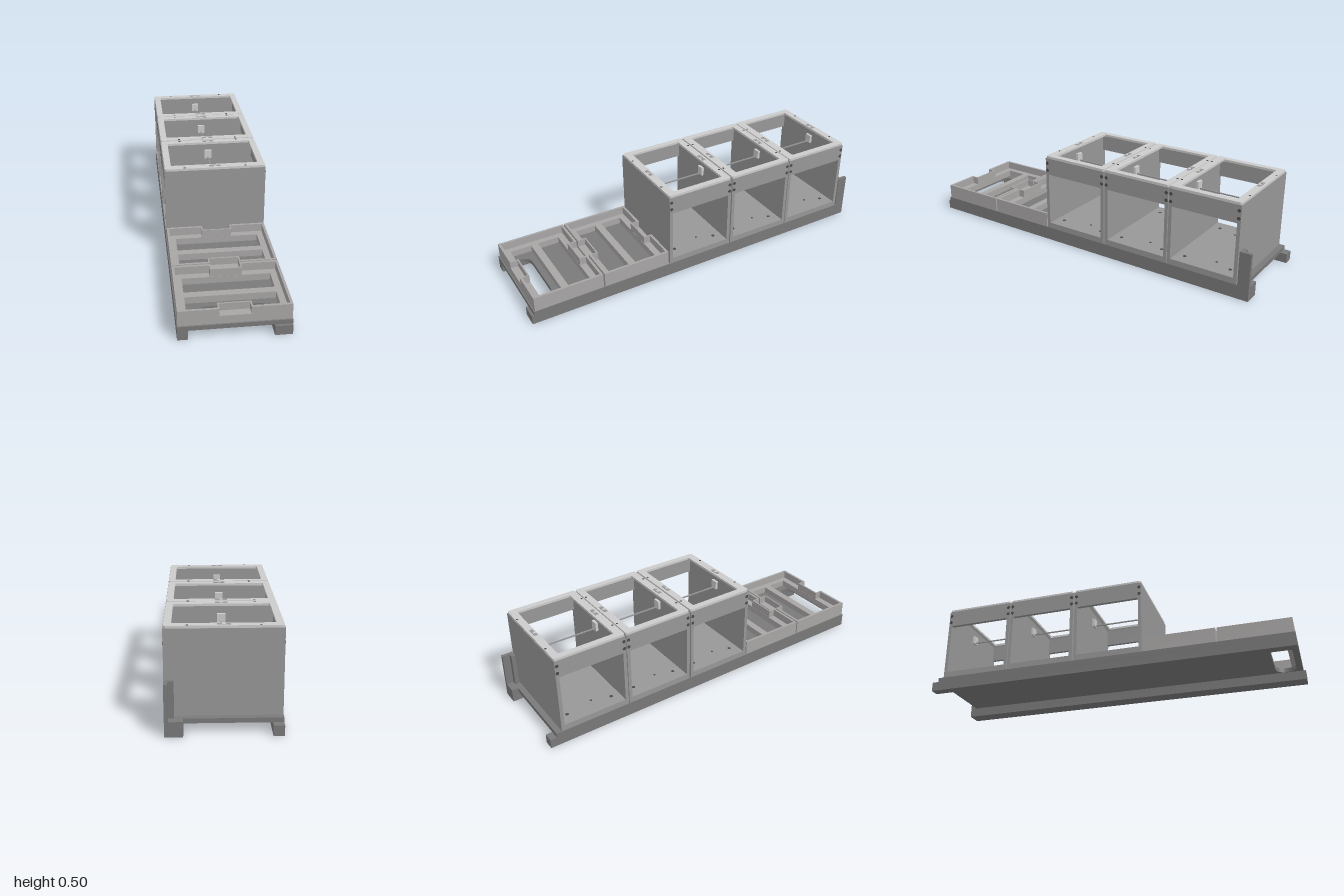
import * as THREE from 'three';

const paint = c => new THREE.MeshStandardMaterial({ color: c, flatShading: true });
const LID = paint(0xcccccc), SHELL = paint(0x979797), TRAY = paint(0xa8a5a5);
const BASE = paint(0x797979), DARK = paint(0x4c4c4c);

function add(parent, name, mat, geo) {
  const m = new THREE.Mesh(geo, mat);
  m.name = name;
  parent.add(m);
  return m;
}

// box given by its min and max on each axis
function box(parent, name, mat, x0, x1, y0, y1, z0, z1) {
  const m = add(parent, name, mat, new THREE.BoxGeometry(x1 - x0, y1 - y0, z1 - z0));
  m.position.set((x0 + x1) / 2, (y0 + y1) / 2, (z0 + z1) / 2);
}

// rectangle with rounded corners, z of the plan is mapped to -y of the shape
function outline(T, x0, x1, z0, z1, r) {
  const s = new T(), a = -z1, b = -z0, q = Math.PI / 2;
  if (!r) {
    s.moveTo(x0, a); s.lineTo(x1, a); s.lineTo(x1, b); s.lineTo(x0, b); s.closePath();
    return s;
  }
  s.moveTo(x0 + r, a);
  s.lineTo(x1 - r, a); s.absarc(x1 - r, a + r, r, -q, 0);
  s.lineTo(x1, b - r); s.absarc(x1 - r, b - r, r, 0, q);
  s.lineTo(x0 + r, b); s.absarc(x0 + r, b - r, r, q, 2 * q);
  s.lineTo(x0, a + r); s.absarc(x0 + r, a + r, r, 2 * q, 3 * q);
  return s;
}

// horizontal plate with cut-outs, each cut-out is [x0, x1, z0, z1, r]
function plate(parent, name, mat, y0, y1, rim, holes) {
  const s = outline(THREE.Shape, ...rim);
  s.holes = holes.map(h => outline(THREE.Path, ...h));
  const g = new THREE.ExtrudeGeometry(s, { depth: y1 - y0, bevelEnabled: false, curveSegments: 8 });
  g.rotateX(-Math.PI / 2);
  add(parent, name, mat, g).position.y = y0;
}

// screw head sitting almost flush in a surface
function screw(parent, x, y, z, axis, r = 0.009) {
  const m = add(parent, 'screw', DARK, new THREE.CylinderGeometry(r, r, 0.003, 12));
  m.position.set(x, y, z);
  if (axis === 'x') m.rotation.z = Math.PI / 2;
}

// open-sided housing with solid end walls and a framed top
function housing(z0, z1) {
  const g = new THREE.Group(), W = 0.267, t = 0.018;
  g.name = 'housing';
  box(g, 'frontWall', SHELL, -W, W, 0.073, 0.483, z1 - t, z1);
  box(g, 'backWall', SHELL, -W, W, 0.073, 0.483, z0, z0 + t);
  box(g, 'floor', SHELL, -W, W, 0.073, 0.105, z0 + t, z1 - t);
  plate(g, 'topFrame', LID, 0.483, 0.495, [-0.264, 0.264, z0 + 0.001, z1 - 0.001, 0.012],
    [[-0.23, 0.23, z0 + 0.04, z1 - 0.045, 0.006]]);
  // thin rod under the opening, held by a bracket at each end
  box(g, 'centreRod', SHELL, -0.003, 0.003, 0.397, 0.403, z0 + t, z1 - t);
  box(g, 'rodBracket', LID, -0.02, 0.02, 0.393, 0.44, z0 + t, z0 + t + 0.014);
  box(g, 'rodBracket', LID, -0.02, 0.02, 0.393, 0.44, z1 - t - 0.014, z1 - t);
  for (const s of [-1, 1]) {
    box(g, 'sideBand', SHELL, s > 0 ? W - t : -W, s > 0 ? W : t - W, 0.39, 0.483, z0 + t, z1 - t);
    for (const z of [z0 + 0.011, z1 - 0.011])
      for (const y of [0.415, 0.455]) screw(g, s * W, y, z, 'x');
    for (const z of [z0 + 0.065, z1 - 0.065]) screw(g, s * 0.2, 0.105, z, 'y');
    for (const z of [z0 + 0.011, z1 - 0.011]) screw(g, s * 0.16, 0.494, z, 'y', 0.006);
  }
  screw(g, -0.17, 0.105, z0 + 0.215, 'y', 0.006);
  screw(g, 0.165, 0.105, z0 + 0.155, 'y', 0.006);
  // latch clips set into the end edges of the frame
  for (const z of [z0 + 0.024, z1 - 0.024]) {
    box(g, 'latchClip', SHELL, -0.03, 0.03, 0.49, 0.4957, z - 0.01, z - 0.003);
    box(g, 'latchClip', SHELL, -0.03, -0.008, 0.49, 0.4957, z - 0.003, z + 0.01);
    box(g, 'latchClip', SHELL, 0.008, 0.03, 0.49, 0.4957, z - 0.003, z + 0.01);
  }
  return g;
}

// shallow tray with two troughs and a grip recess at each end
function tray(z0, z1) {
  const g = new THREE.Group(), W = 0.265, t = 0.013, n = 0.073, top = 0.153, grip = 0.115;
  g.name = 'tray';
  plate(g, 'trayFloor', TRAY, 0.074, 0.11, [t - W, W - t, z0 + t, z1 - t, 0],
    [[-0.22, 0.22, z0 + 0.05, z0 + 0.168, 0], [-0.22, 0.22, z0 + 0.208, z1 - 0.05, 0]]);
  for (const s of [-1, 1]) {
    box(g, 'sideWall', TRAY, s > 0 ? W - t : -W, s > 0 ? W : t - W, 0.073, top, z0, z1);
    const ze = s > 0 ? z1 : z0, zi = ze - s * t, zg = ze - s * 0.045;
    const lo = Math.min(ze, zi), hi = Math.max(ze, zi);
    box(g, 'endWall', TRAY, t - W, -n, 0.073, top, lo, hi);
    box(g, 'endWall', TRAY, n, W - t, 0.073, top, lo, hi);
    box(g, 'gripShelf', TRAY, -n, n, 0.073, grip, Math.min(ze, zg), Math.max(ze, zg));
    box(g, 'gripBack', TRAY, -n - 0.007, n + 0.007, 0.11, top, zg - 0.004, zg + 0.004);
    for (const e of [-1, 1]) {
      const x = e * (n + 0.0035);
      box(g, 'gripCheek', TRAY, x - 0.0035, x + 0.0035, 0.11, top, Math.min(zi, zg), Math.max(zi, zg));
    }
  }
  return g;
}

export function createModel() {
  const root = new THREE.Group();
  root.name = 'modularRack';

  // base: deck on two rails
  const base = new THREE.Group();
  base.name = 'base';
  root.add(base);
  plate(base, 'deck', BASE, 0.05, 0.073, [-0.268, 0.267, -0.965, 0.987, 0],
    [[-0.18, 0.18, 0.845, 0.955, 0.054]]);
  box(base, 'leftRail', BASE, 0.182, 0.266, 0, 0.05, -1, 1);
  box(base, 'rightRail', BASE, -0.268, -0.217, 0, 0.05, -1, 0.987);

  // angled post at the back corner
  box(base, 'postFoot', BASE, 0.182, 0.266, 0.05, 0.073, -1, -0.965);
  box(base, 'postSidePlate', BASE, 0.248, 0.266, 0.073, 0.25, -1, -0.94);
  box(base, 'postInnerPlate', BASE, 0.222, 0.248, 0.073, 0.25, -0.962, -0.94);

  // three housings behind two trays
  for (const [a, b] of [[-0.935, -0.553], [-0.549, -0.172], [-0.165, 0.214]]) root.add(housing(a, b));
  for (const [a, b] of [[0.222, 0.597], [0.605, 0.98]]) root.add(tray(a, b));
  return root;
}
